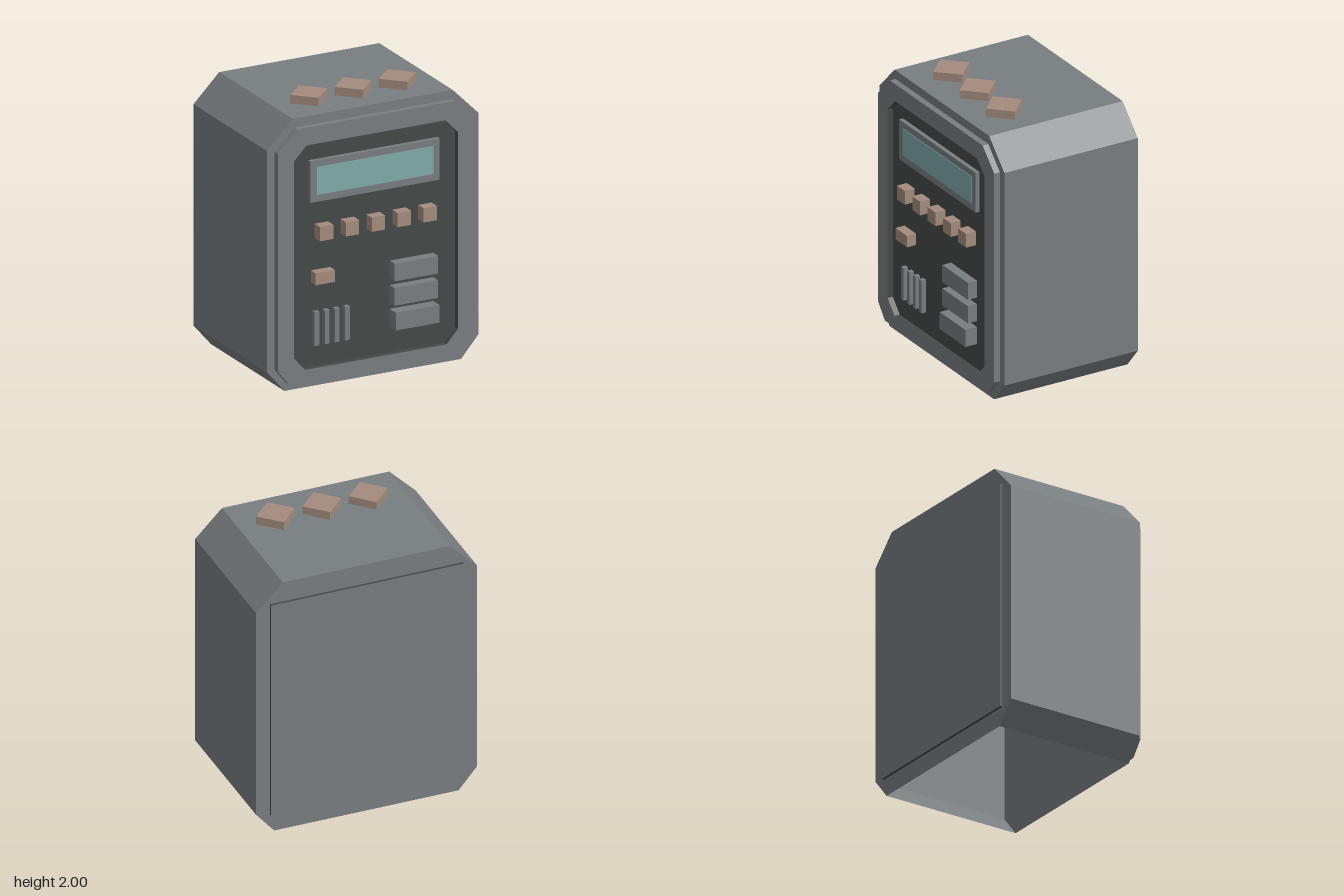
import * as THREE from 'three';

const mat = (name, color, side = THREE.FrontSide) => {
  const m = new THREE.MeshStandardMaterial({ color, side });
  m.name = name;
  return m;
};

// Eight-cornered outline, counterclockwise, starting with the bottom edge
const outline = (halfW, y0, y1, bottomX, bottomY, topX, topY) => [
  [-bottomX, y0], [bottomX, y0], [halfW, bottomY], [halfW, topY],
  [topX, y1], [-topX, y1], [-halfW, topY], [-halfW, bottomY],
].map(([x, y]) => new THREE.Vector2(x, y));

// Flat-shaded band of walls along an outline from z0 to z1
function walls(pts, z0, z1, firstEdge = 0) {
  const pos = [];
  for (let i = firstEdge; i < pts.length; i++) {
    const p = pts[i], q = pts[(i + 1) % pts.length];
    pos.push(p.x, p.y, z0, q.x, q.y, z0, q.x, q.y, z1);
    pos.push(p.x, p.y, z0, q.x, q.y, z1, p.x, p.y, z1);
  }
  const g = new THREE.BufferGeometry();
  g.setAttribute('position', new THREE.Float32BufferAttribute(pos, 3));
  g.computeVertexNormals();
  return g;
}

export function createModel() {
  const model = new THREE.Group();
  model.name = 'controlBox';

  const grey = mat('casing grey', 0x787d80, THREE.DoubleSide);
  const dark = mat('panel dark grey', 0x444a48, THREE.DoubleSide);
  const tan = mat('button tan', 0xa48b7d);
  const teal = mat('screen teal', 0x7faaa8);

  const add = (name, geometry, material, parent = model) => {
    const mesh = new THREE.Mesh(geometry, material);
    mesh.name = name;
    parent.add(mesh);
    return mesh;
  };
  const group = (name) => {
    const g = new THREE.Group();
    g.name = name;
    model.add(g);
    return g;
  };
  // Box given by its limits on each axis
  const block = (name, x0, x1, y0, y1, z0, z1, material, parent) => {
    const mesh = add(name, new THREE.BoxGeometry(x1 - x0, y1 - y0, z1 - z0), material, parent);
    mesh.position.set((x0 + x1) / 2, (y0 + y1) / 2, (z0 + z1) / 2);
    return mesh;
  };

  const BACK = -0.565, FACE = 0.49, RIM = 0.535;

  // Casing: chamfered shell, open underneath
  const casing = group('casing');
  const bodyPts = outline(0.808, 0, 1.94, 0.675, 0.155, 0.612, 1.743);
  add('casingWalls', walls(bodyPts, BACK, FACE, 1), grey, casing);
  const cap = new THREE.ShapeGeometry(new THREE.Shape(bodyPts));
  add('casingFront', cap, grey, casing).position.z = FACE;
  const rear = add('casingBack', cap, grey, casing);
  rear.rotation.y = Math.PI;
  rear.position.z = BACK;

  // Raised front bezel around a recessed dark panel
  const bezelPts = outline(0.75, 0.057, 1.876, 0.665, 0.165, 0.6, 1.726);
  const panelPts = outline(0.627, 0.142, 1.75, 0.54, 0.24, 0.53, 1.65);
  const bezelShape = new THREE.Shape(bezelPts);
  bezelShape.holes.push(new THREE.Path(panelPts));
  add('bezelFace', new THREE.ShapeGeometry(bezelShape), grey).position.z = RIM;
  add('bezelWalls', walls(bezelPts, FACE, RIM), grey);
  add('recessWalls', walls(panelPts, FACE, RIM), dark);
  add('frontPanel', new THREE.ShapeGeometry(new THREE.Shape(panelPts)), dark).position.z = FACE + 0.004;

  // Display
  block('screenFrame', -0.495, 0.493, 1.328, 1.625, FACE, 0.525, grey);
  block('screen', -0.446, 0.444, 1.378, 1.578, 0.524, 0.529, teal);

  // Row of buttons and a single wide one
  const buttons = group('buttons');
  for (let i = -2; i <= 2; i++) {
    const x = i * 0.198;
    block('button', x - 0.051, x + 0.051, 1.06, 1.162, FACE, 0.572, tan, buttons);
  }
  block('wideButton', -0.476, -0.328, 0.747, 0.832, FACE, 0.565, tan, buttons);

  // Upright speaker ribs
  const ribs = group('speakerRibs');
  for (let i = 0; i < 4; i++) {
    const x = -0.447 + i * 0.0775;
    block('rib', x - 0.018, x + 0.018, 0.298, 0.54, FACE, 0.53, grey, ribs);
  }

  // Stacked bars, the lowest standing out furthest
  const bars = group('bars');
  [0.327, 0.498, 0.673].forEach((y, i) =>
    block('bar', 0.127, 0.46, y, y + 0.127, FACE, i === 0 ? 0.585 : 0.565, grey, bars));

  // Square knobs turned on edge on the top
  const knobs = group('topKnobs');
  for (const x of [-0.339, 0, 0.339]) {
    const knob = add('knob', new THREE.BoxGeometry(0.202, 0.06, 0.202), tan, knobs);
    knob.position.set(x, 1.97, 0.207);
    knob.rotation.y = Math.PI / 4;
  }

  // Back cover with dark edges
  block('backCover', -0.708, 0.706, 0.132, 1.79, -0.585, BACK, [dark, dark, dark, dark, grey, grey]);

  return model;
}
